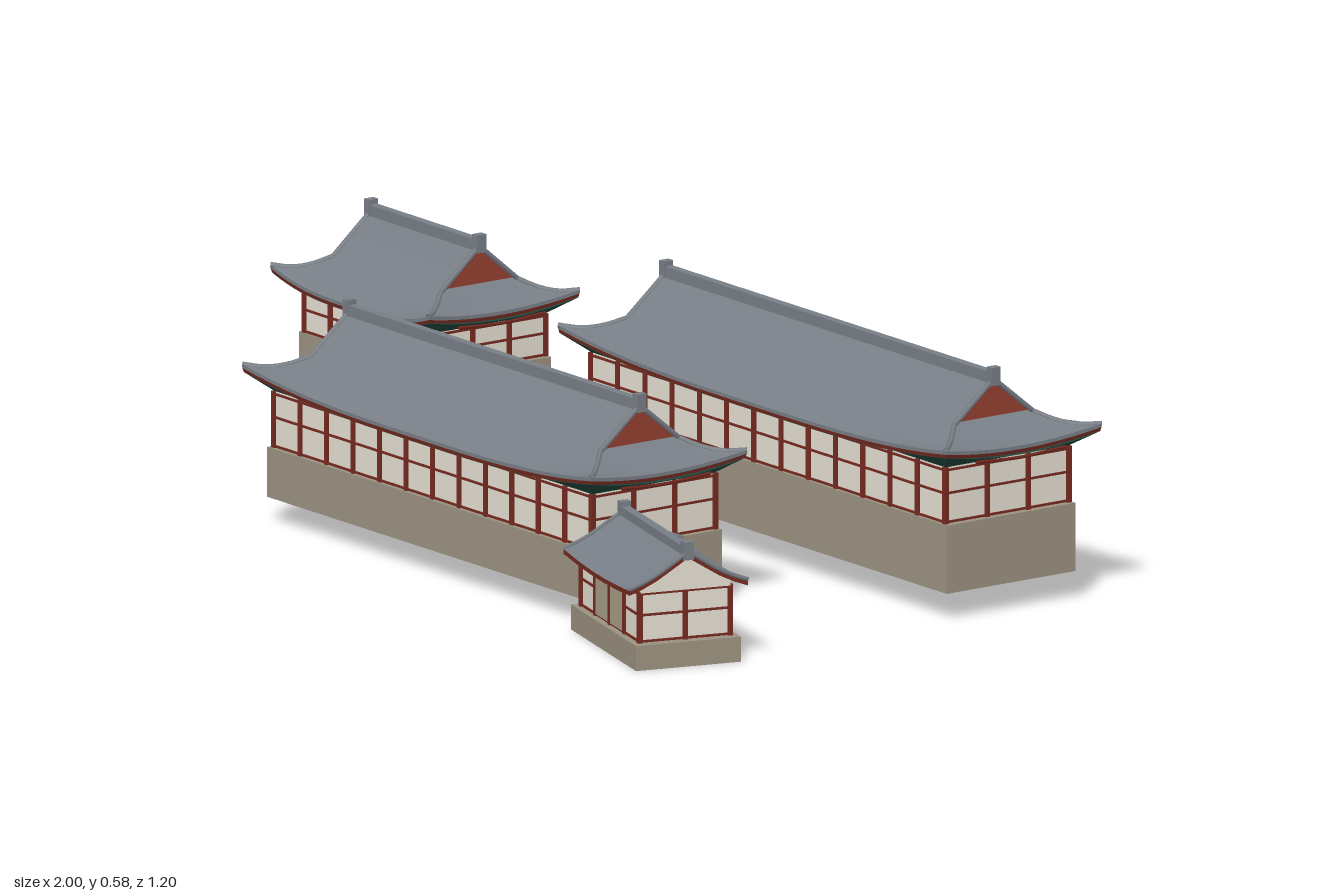
import * as THREE from 'three';

const mat = (name, color, side = THREE.FrontSide) => {
  const m = new THREE.MeshStandardMaterial({ color, side });
  m.name = name;
  return m;
};
const lerp = THREE.MathUtils.lerp;

export function createModel() {
  const stone = mat('stone', 0x9b9280, THREE.DoubleSide);
  const plaster = mat('plaster', 0xe3ded1);
  const timber = mat('redTimber', 0x752a20, THREE.DoubleSide);
  const gableRed = mat('gableRed', 0x944030, THREE.DoubleSide);
  const tile = mat('roofTile', 0x787e86, THREE.DoubleSide);
  const green = mat('eaveGreen', 0x1f463c, THREE.DoubleSide);
  const door = mat('doorPanel', 0xa89f8a);

  function add(parent, name, geo, material, x = 0, y = 0, z = 0) {
    const m = new THREE.Mesh(geo, material);
    m.name = name;
    m.position.set(x, y, z);
    parent.add(m);
    return m;
  }
  const box = (p, name, material, w, h, d, x, y, z) =>
    add(p, name, new THREE.BoxGeometry(w, h, d), material, x, y, z);

  // Surface through rows of points, smooth or faceted
  function patch(rows, flat = false) {
    const n = rows[0].length, idx = [];
    for (let r = 0; r < rows.length - 1; r++)
      for (let c = 0; c < n - 1; c++) {
        const a = r * n + c, b = a + n;
        idx.push(a, b, a + 1, a + 1, b, b + 1);
      }
    let g = new THREE.BufferGeometry().setFromPoints(rows.flat());
    g.setIndex(idx);
    if (flat) g = g.toNonIndexed();
    g.computeVertexNormals();
    return g;
  }
  const tube = (pts, r) => new THREE.TubeGeometry(new THREE.CatmullRomCurve3(pts), 10, r, 5);
  const steps = (n) => Array.from({ length: n + 1 }, (_, i) => -1 + (2 * i) / n);

  // Hollow stone base: four sides and a top, open underneath
  function base(g, len, wid, y0, y1) {
    const ring = (y) => [[1, 1], [1, -1], [-1, -1], [-1, 1], [1, 1]]
      .map(([a, b]) => new THREE.Vector3((a * len) / 2, y, (b * wid) / 2));
    add(g, 'stoneBase', patch([ring(y1), ring(y0)], true), stone);
    add(g, 'stoneFloor', new THREE.PlaneGeometry(len, wid), stone, 0, y1, 0).rotation.x = -Math.PI / 2;
  }

  // Plastered walls with posts, rails and door panels
  function walls(g, len, wid, y0, y1, baysX, baysZ, isDoor) {
    const h = y1 - y0, ym = (y0 + y1) / 2, p = 0.011;
    box(g, 'walls', plaster, len, h, wid, 0, ym + 0.0005, 0);
    for (const s of [-1, 1]) {
      for (let i = 0; i <= baysX; i++)
        box(g, 'post', timber, p, h, p, -len / 2 + (i * len) / baysX, ym, (s * wid) / 2);
      for (let i = 1; i < baysZ; i++)
        box(g, 'sidePost', timber, p, h, p, (s * len) / 2, ym, -wid / 2 + (i * wid) / baysZ);
      for (const f of [0.03, 0.54, 0.95]) {
        box(g, 'rail', timber, len, 0.005, 0.006, 0, y0 + f * h, (s * wid) / 2);
        box(g, 'sideRail', timber, 0.006, 0.005, wid, (s * len) / 2, y0 + f * h, 0);
      }
      for (let i = 0; i < baysX; i++)
        if (isDoor(i, s))
          box(g, 'doorPanel', door, len / baysX - p, h * 0.88, 0.008,
            -len / 2 + ((i + 0.5) * len) / baysX, y0 + h * 0.48, (s * wid) / 2);
    }
  }

  // Ridge beam with raised end blocks
  function ridge(g, half, y) {
    box(g, 'ridge', tile, half * 2, 0.026, 0.02, 0, y, 0);
    for (const s of [-1, 1])
      box(g, 'ridgeEnd', tile, 0.018, 0.04, 0.024, s * (half - 0.005), y + 0.004, 0);
  }

  // Hip-and-gable roof with upturned corners; L and W are half sizes
  function hipRoof(g, L, W, over, e, wallL, wallW, yWall) {
    const rx = L - over, S = steps(24);
    const height = (t) => t <= 0.5 ? lerp(0.142, 0.057, t * 2) : 0.057 * Math.pow(2 - 2 * t, 1.2);
    const front = (s, t) => {
      const v = Math.max(0, 2 * t - 1);
      return new THREE.Vector3(s * lerp(rx, L, v), e + height(t) + 0.035 * Math.abs(s) ** 3 * v * v,
        W * t - 0.008 * v * (1 - s * s));
    };
    const end = (s, v, bow = 0.011) => {
      const q = Math.max(0, v);
      return new THREE.Vector3(lerp(rx, L, v) - bow * q * (1 - s * s),
        e + height(0.5 + q / 2) + (0.015 + 0.02 * s * s) * q * q, s * lerp(W / 2, W, q));
    };
    const slope = patch([0, 0.25, 0.5, 0.625, 0.75, 0.875, 1].map((t) => S.map((s) => front(s, t))));
    const hip = patch([-0.2, 0, 0.25, 0.5, 0.75, 1].map((v) => S.map((s) => end(-s, v))));
    const tri = new THREE.Shape([[-W / 2, -0.01], [W / 2, -0.01], [W / 2, 0], [0, 0.085], [-W / 2, 0]]
      .map(([a, b]) => new THREE.Vector2(a, b)));

    // Tile edge, red fascia and green soffit running back to the wall
    const band = (edge, straight, wall) => {
      const drop = (pts, dy, k) => pts.map((p, i) => {
        const q = p.clone().lerp(wall[i], k);
        q.y = p.y - dy;
        return q;
      });
      const a = drop(edge, 0.008, 0), b = drop(edge, 0.016, 0.04), c = drop(straight, 0.0165, 0.03);
      return [patch([edge, a], true), patch([a, b], true), patch([b, c, wall], true)];
    };
    const fEdge = S.map((s) => front(s, 1));
    const fBand = band(fEdge, fEdge, S.map((s) => new THREE.Vector3(s * wallL, yWall, wallW)));
    const eBand = band(S.map((s) => end(-s, 1)), S.map((s) => end(-s, 1, 0)),
      S.map((s) => new THREE.Vector3(wallL, yWall, -s * wallW)));
    const layers = [['eaveEdge', tile], ['fascia', timber], ['soffit', green]];

    for (let k = 0; k < 2; k++) {
      const half = new THREE.Group();
      half.name = 'roofHalf';
      half.rotation.y = k * Math.PI;
      g.add(half);
      add(half, 'mainSlope', slope, tile);
      add(half, 'hipSlope', hip, tile);
      layers.forEach(([n, m], i) => {
        add(half, n, fBand[i], m);
        add(half, n, eBand[i], m);
      });
      add(half, 'gable', new THREE.ShapeGeometry(tri), gableRed, rx - 0.012, e + 0.057, 0)
        .rotation.y = Math.PI / 2;
      // Red beam bowed beneath the end eave
      const beam = [-0.6, 0, 0.6].map((s) => end(s, 0.9, 0).add(new THREE.Vector3(0, -0.026, 0)));
      add(half, 'endBeam', tube(beam, 0.004), timber);
      for (const s of [-1, 1]) {
        // Rake and corner ridges
        const rake = [0, 0.25, 0.5].map((t) => front(1, t));
        const corner = [0, 0.33, 0.66, 1].map((v) => end(1, v));
        for (const p of [...rake, ...corner]) p.z *= s;
        add(half, 'rakeRidge', tube(rake, 0.006), tile);
        add(half, 'cornerRidge', tube(corner, 0.006), tile);
      }
    }
    ridge(g, rx + 0.005, e + 0.145);
  }

  const model = new THREE.Group();
  model.name = 'pavilionCompound';
  const place = (name, x, z, ry) => {
    const g = new THREE.Group();
    g.name = name;
    g.position.set(x, 0, z);
    g.rotation.y = ry;
    model.add(g);
    return g;
  };

  // Three large halls
  const halls = [
    { name: 'leftHall', x: -0.714, z: -0.046, ry: 0.008, L: 0.285, W: 0.2, over: 0.09, e: 0.412,
      y0: 0.18, y1: 0.3, base: [0.5, 0.3], wall: [0.47, 0.29], bays: 5 },
    { name: 'backHall', x: 0.296, z: -0.382, ry: 0.012, L: 0.695, W: 0.207, over: 0.108, e: 0.353,
      y0: 0.06, y1: 0.21, base: [1.3, 0.342], wall: [1.27, 0.326], bays: 13 },
    { name: 'frontHall', x: -0.034, z: 0.262, ry: 0.012, L: 0.625, W: 0.207, over: 0.105, e: 0.308,
      y0: 0.055, y1: 0.165, base: [1.165, 0.345], wall: [1.14, 0.325], bays: 12 },
  ];
  for (const h of halls) {
    const g = place(h.name, h.x, h.z, h.ry);
    const yTop = h.e - 0.019;
    base(g, h.base[0], h.base[1], h.y0, h.y1);
    walls(g, h.wall[0], h.wall[1], h.y1, yTop, h.bays, 3,
      (i, s) => s < 0 && i > 1 && i < h.bays - 2);
    hipRoof(g, h.L, h.W, h.over, h.e, h.wall[0] / 2, h.wall[1] / 2, yTop);
  }

  // Small gatehouse with a plain gabled roof
  const gate = place('gatehouse', 0.759, 0.41, -0.266);
  base(gate, 0.396, 0.239, 0, 0.055);
  walls(gate, 0.35, 0.205, 0.055, 0.168, 4, 2, (i, s) => s > 0 && (i === 1 || i === 2));
  const half = 0.197;
  const profile = [[0, 0.25], [0.035, 0.226], [0.07, 0.202], [0.105, 0.183], [0.136, 0.17]];
  const roofPt = (s, [z, y], side, dy = 0) =>
    new THREE.Vector3(s * half, y - dy + 0.008 * s * s * (z / 0.136), z * side);
  const gableShape = new THREE.Shape([[-0.1025, 0.165], [0.1025, 0.165], [0.1025, 0.177], [0.07, 0.194],
    [0, 0.242], [-0.07, 0.194], [-0.1025, 0.177]].map(([a, b]) => new THREE.Vector2(a, b)));
  for (const side of [-1, 1]) {
    const grid = (dy) => profile.map((p) => steps(8).map((s) => roofPt(s * side, p, side, dy)));
    const top = grid(0), under = grid(0.01);
    add(gate, 'roofSlope', patch(top), tile);
    add(gate, 'soffit', patch(under), green);
    add(gate, 'fascia', patch([top.at(-1), under.at(-1)], true), timber);
    for (const s of [-1, 1]) {
      const rake = (dy) => profile.map((p) => roofPt(s, p, side, dy));
      add(gate, 'bargeboard', patch([rake(0), rake(0.012)], true), timber);
      add(gate, 'rakeRidge', tube(rake(-0.002), 0.005), tile);
    }
    add(gate, 'gable', new THREE.ExtrudeGeometry(gableShape, { depth: 0.006, bevelEnabled: false }),
      plaster, side * 0.175, 0, 0).rotation.y = (side * Math.PI) / 2;
  }
  ridge(gate, half, 0.25);
  return model;
}
